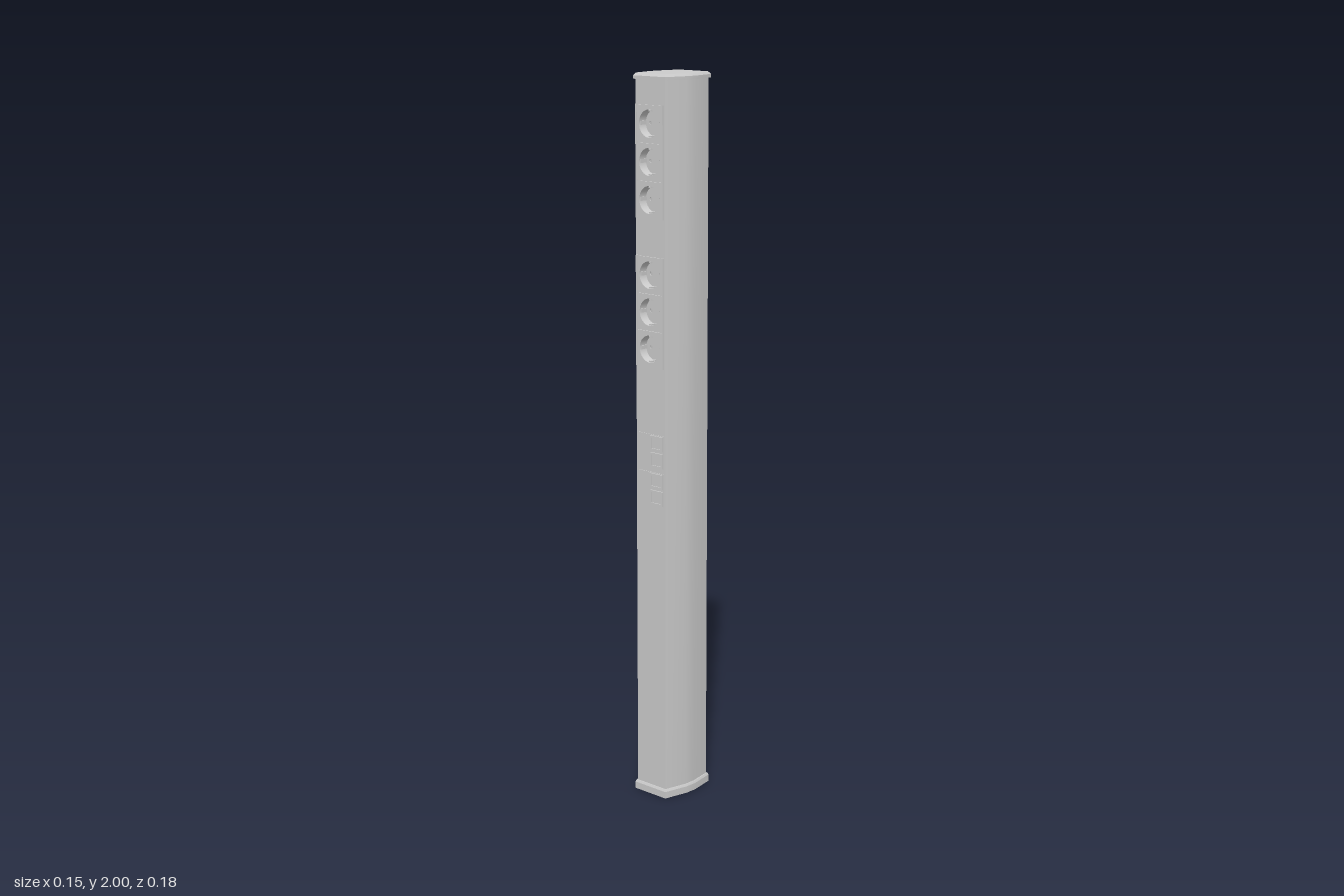
import * as THREE from 'three';
import { toCreasedNormals } from 'three/addons/utils/BufferGeometryUtils.js';

const grey = new THREE.MeshStandardMaterial({ color: 0xcccccc, side: THREE.DoubleSide });
const FRONT = 0.084; // z of the column's front face

function add(parent, name, geometry, x = 0, y = 0, z = 0) {
  const mesh = new THREE.Mesh(geometry, grey);
  mesh.name = name;
  mesh.position.set(x, y, z);
  parent.add(mesh);
  return mesh;
}

// Barrel-sided outline of the column, drawn in by an inset
function outline(inset) {
  const cx = 0.058 - inset * 0.8, cz = 0.09 - inset, mx = 0.073 - inset, mz = 0.018;
  return [[-cx, cz], [cx, cz], [mx, mz], [mx, -mz], [cx, -cz], [-cx, -cz], [-mx, -mz], [-mx, mz]];
}

// Skin through outlines at levels [y, inset]; firstSide = 1 leaves the front open
function loft(levels, { firstSide = 0, bottom = false, top = false } = {}) {
  const rings = levels.map(([y, inset]) => outline(inset).map(([x, z]) => [x, y, z]));
  const pos = [];
  const tri = (...pts) => pts.forEach((p) => pos.push(...p));
  for (let k = 0; k < rings.length - 1; k++) {
    for (let j = firstSide; j < 8; j++) {
      const n = (j + 1) % 8;
      const a = rings[k][j], b = rings[k][n], c = rings[k + 1][n], d = rings[k + 1][j];
      tri(a, b, c);
      tri(a, c, d);
    }
  }
  const last = rings.length - 1;
  for (let j = 0; j < 8; j++) {
    const n = (j + 1) % 8;
    if (top) tri([0, levels[last][0], 0], rings[last][j], rings[last][n]);
    if (bottom) tri([0, levels[0][0], 0], rings[0][n], rings[0][j]);
  }
  const geometry = new THREE.BufferGeometry();
  geometry.setAttribute('position', new THREE.Float32BufferAttribute(pos, 3));
  return toCreasedNormals(geometry, 0.4);
}

function rect(w, h, cx = 0, cy = 0, Type = THREE.Shape) {
  const s = new Type();
  s.moveTo(cx - w / 2, cy - h / 2);
  s.lineTo(cx + w / 2, cy - h / 2);
  s.lineTo(cx + w / 2, cy + h / 2);
  s.lineTo(cx - w / 2, cy + h / 2);
  s.closePath();
  return s;
}

const circle = (r, x = 0, y = 0) => new THREE.Path().absarc(x, y, r, 0, Math.PI * 2, true);
const extrude = (shape, depth) =>
  new THREE.ExtrudeGeometry(shape, { depth, bevelEnabled: false, curveSegments: 16 });

// Recessed round power socket on a square plate
function socket() {
  const g = new THREE.Group();
  g.name = 'socket';
  const plate = rect(0.09, 0.097);
  plate.holes.push(circle(0.037));
  add(g, 'socketPlate', extrude(plate, 0.004), 0, 0, FRONT);

  const wall = new THREE.CylinderGeometry(0.037, 0.035, 0.024, 32, 1, true).rotateX(Math.PI / 2);
  add(g, 'socketWall', wall, 0, 0, FRONT - 0.008);

  const floor = new THREE.Shape().absarc(0, 0, 0.036, 0, Math.PI * 2);
  for (const s of [-1, 1]) floor.holes.push(circle(0.005, s * 0.017, 0));
  add(g, 'socketFloor', extrude(floor, 0.002), 0, 0, FRONT - 0.022);

  for (const s of [-1, 1]) {
    add(g, 'earthClip', new THREE.BoxGeometry(0.008, 0.004, 0.022), 0, s * 0.034, FRONT - 0.009);
    add(g, 'guideRib', new THREE.BoxGeometry(0.004, 0.01, 0.022), s * 0.034, 0, FRONT - 0.009);
  }
  return g;
}

// Data outlet: thin plate with two framed ports on the model's left
function dataModule() {
  const g = new THREE.Group();
  g.name = 'dataModule';
  add(g, 'dataPlate', new THREE.BoxGeometry(0.096, 0.092, 0.002), 0, 0, FRONT + 0.001);
  for (const s of [-1, 1]) {
    const frame = rect(0.047, 0.041);
    frame.holes.push(rect(0.035, 0.029, 0, 0, THREE.Path));
    add(g, 'portFrame', extrude(frame, 0.006), 0.0235, s * 0.0235, FRONT);
    add(g, 'portCover', new THREE.BoxGeometry(0.035, 0.029, 0.002), 0.0235, s * 0.0235, FRONT + 0.002);
  }
  return g;
}

export function createModel() {
  const model = new THREE.Group();
  model.name = 'powerColumn';

  // Hollow column: sides and back as one skin, front panel with socket openings
  add(model, 'columnShell', loft([[0.004, 0.006], [1.99, 0.006]], { firstSide: 1 }));
  const groups = [1.77, 1.37];
  const panel = rect(0.1064, 1.986, 0, 0.997);
  for (const y of groups) {
    for (const d of [-0.1, 0, 0.1]) panel.holes.push(circle(0.037, 0, y + d));
  }
  add(model, 'frontPanel', extrude(panel, 0.002), 0, 0, FRONT - 0.002);

  // Open foot collar and closed top cap, both chamfered
  add(model, 'footCollar', loft([[0, 0.008], [0, 0], [0.019, 0], [0.025, 0.003], [0.025, 0.007]]));
  add(model, 'topCap', loft([[1.984, 0.001], [1.993, 0.001], [2, 0.007]], { top: true, bottom: true }));

  // Two banks of three sockets between side rails
  for (const y of groups) {
    const bank = new THREE.Group();
    bank.name = 'socketBank';
    bank.position.y = y;
    for (const d of [-0.1, 0, 0.1]) {
      const s = socket();
      s.position.y = d;
      bank.add(s);
    }
    for (const s of [-1, 1]) {
      add(bank, 'sideRail', new THREE.BoxGeometry(0.004, 0.3, 0.006), s * 0.047, 0, FRONT + 0.003);
    }
    model.add(bank);
  }

  // Data outlets
  for (const y of [0.99, 0.885]) {
    const m = dataModule();
    m.position.y = y;
    model.add(m);
  }
  return model;
}
